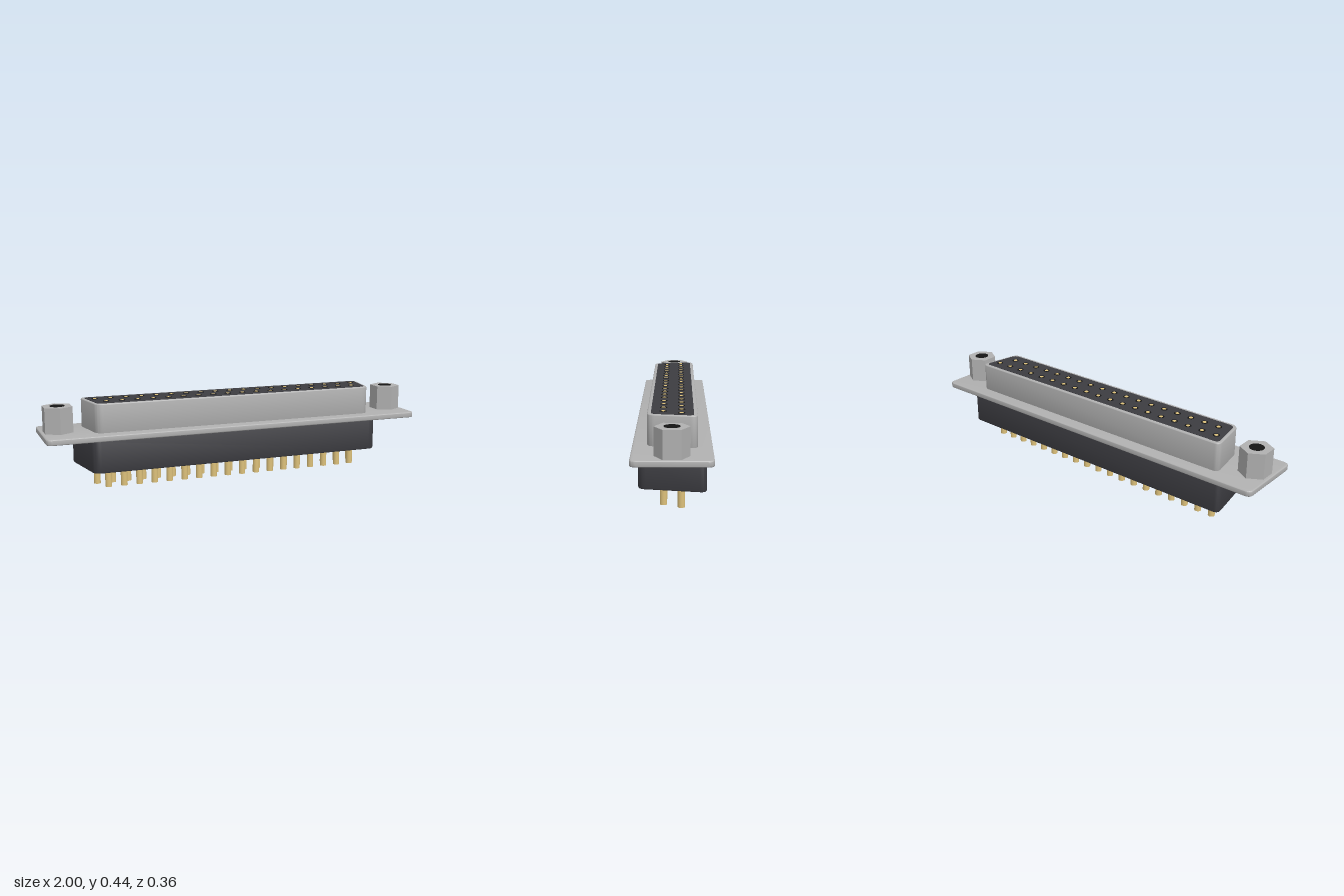
import * as THREE from 'three';
import { toCreasedNormals } from 'three/addons/utils/BufferGeometryUtils.js';

const mat = (color) => new THREE.MeshStandardMaterial({ color });

// Outline with rounded corners; points run counter-clockwise, shape y = -z
function roundedShape(pts, r) {
  const shape = new THREE.Shape();
  const v = pts.map(([x, y]) => new THREE.Vector2(x, y));
  v.forEach((p, i) => {
    const prev = v[(i + v.length - 1) % v.length];
    const next = v[(i + 1) % v.length];
    const a = prev.clone().sub(p).setLength(r).add(p);
    const b = next.clone().sub(p).setLength(r).add(p);
    if (i === 0) shape.moveTo(a.x, a.y);
    else shape.lineTo(a.x, a.y);
    shape.quadraticCurveTo(p.x, p.y, b.x, b.y);
  });
  shape.closePath();
  return shape;
}

// Slab standing between y0 and y1, wide at the back and narrower at the front
function slab(name, backX, frontX, halfZ, radius, y0, y1, bevel, material) {
  const shape = roundedShape(
    [[-frontX, -halfZ], [frontX, -halfZ], [backX, halfZ], [-backX, halfZ]], radius);
  const geo = new THREE.ExtrudeGeometry(shape, {
    depth: y1 - y0 - 2 * bevel, curveSegments: 8, bevelEnabled: bevel > 0,
    bevelThickness: bevel, bevelSize: bevel, bevelOffset: -bevel, bevelSegments: 3,
  });
  geo.translate(0, 0, bevel).rotateX(-Math.PI / 2).translate(0, y0, 0);
  const mesh = new THREE.Mesh(toCreasedNormals(geo, 0.6), material);
  mesh.name = name;
  return mesh;
}

function cylinder(name, r, y0, y1, x, z, material, sides = 20) {
  const mesh = new THREE.Mesh(new THREE.CylinderGeometry(r, r, y1 - y0, sides), material);
  mesh.position.set(x, (y0 + y1) / 2, z);
  mesh.name = name;
  return mesh;
}

export function createModel() {
  const model = new THREE.Group();
  model.name = 'connector';
  const metal = mat(0xb0b0b0);
  const plastic = mat(0x3c3c41);
  const black = mat(0x151515);
  const gold = mat(0xdcc07a);

  // Housing, flange and tapered shell around the socket face
  model.add(
    slab('rearHousing', 0.825, 0.771, 0.154, 0.035, 0.098, 0.262, 0.006, plastic),
    slab('flange', 1, 1, 0.18, 0.03, 0.261, 0.29, 0.005, metal),
    slab('shell', 0.785, 0.745, 0.113, 0.035, 0.285, 0.434, 0.005, metal),
    slab('socketFace', 0.768, 0.734, 0.096, 0.028, 0.4, 0.4355, 0, plastic),
  );

  // Two staggered rows of contacts: pin below, socket above
  const contacts = new THREE.Group();
  contacts.name = 'contacts';
  for (const [count, z] of [[19, -0.041], [18, 0.041]]) {
    for (let i = 0; i < count; i++) {
      const x = (i - (count - 1) / 2) * 0.08;
      contacts.add(
        cylinder('pin', 0.017, 0, 0.11, x, z, gold),
        cylinder('socketRim', 0.017, 0.42, 0.4365, x, z, black),
        cylinder('socketContact', 0.01, 0.42, 0.4375, x, z, gold, 14),
      );
    }
  }
  model.add(contacts);

  // Hexagonal jack posts with dark threaded bores
  for (const side of [-1, 1]) {
    const post = new THREE.Group();
    post.name = side > 0 ? 'leftJackPost' : 'rightJackPost';
    const hex = new THREE.Shape();
    for (let i = 0; i < 6; i++) {
      const a = Math.PI / 2 + (i * Math.PI) / 3;
      hex[i ? 'lineTo' : 'moveTo'](0.079 * Math.cos(a), 0.079 * Math.sin(a));
    }
    hex.closePath();
    const geo = new THREE.ExtrudeGeometry(hex, { depth: 0.133, bevelEnabled: false });
    geo.rotateX(-Math.PI / 2).translate(side * 0.915, 0.286, 0);
    const nut = new THREE.Mesh(geo, metal);
    nut.name = 'hexNut';
    post.add(nut, cylinder('bore', 0.036, 0.4, 0.4205, side * 0.915, 0, black, 28));
    model.add(post);
  }
  return model;
}
